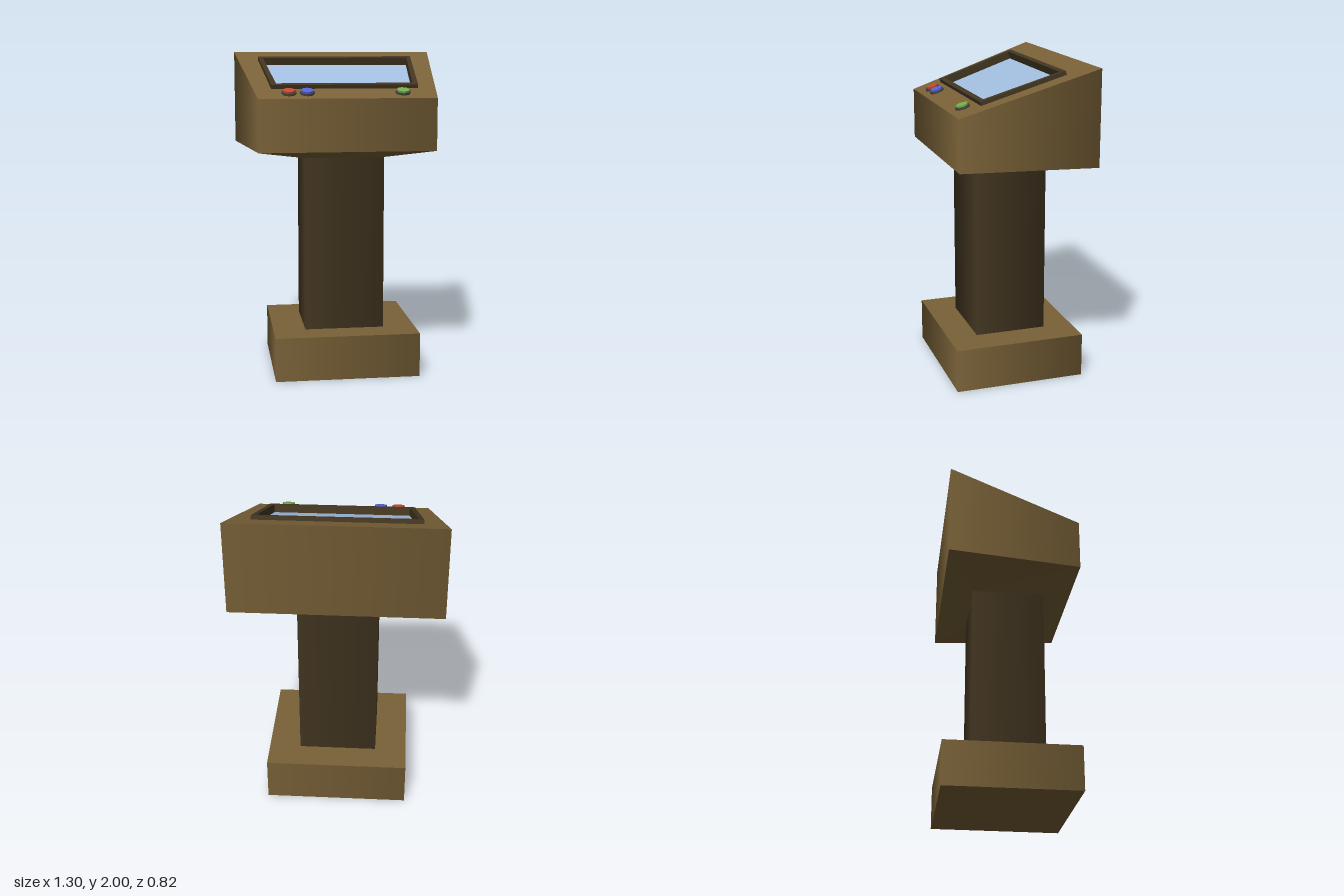
import * as THREE from 'three';

const mat = (color, extra = {}) => new THREE.MeshStandardMaterial({ color, ...extra });
const BROWN = 0x7a6238, DARK = 0x433621;

function add(parent, name, geometry, material) {
  const mesh = new THREE.Mesh(geometry, material);
  mesh.name = name;
  parent.add(mesh);
  return mesh;
}

// Four-sided block with softly shaded sides; rule(sx, sz, isTop) places each corner
function block(rule, open) {
  const g = new THREE.CylinderGeometry(1, 1, 1, 4, 1, open, Math.PI / 4);
  const p = g.attributes.position;
  for (let i = 0; i < p.count; i++) {
    const x = p.getX(i), z = p.getZ(i);
    const sx = Math.abs(x) < 0.1 ? 0 : Math.sign(x);
    const sz = Math.abs(z) < 0.1 ? 0 : Math.sign(z);
    p.setXYZ(i, ...rule(sx, sz, p.getY(i) > 0));
  }
  return g;
}

// Symmetric trapezoid: back edge at +y, front edge at -y
function trapezoid(Type, backX, backY, frontX, frontY) {
  return new Type([
    new THREE.Vector2(-frontX, frontY), new THREE.Vector2(frontX, frontY),
    new THREE.Vector2(backX, backY), new THREE.Vector2(-backX, backY),
  ]);
}

export function createModel() {
  const model = new THREE.Group();
  model.name = 'consolePedestal';
  const brown = mat(BROWN), dark = mat(DARK);

  // Foot and column
  add(model, 'base', block((x, z, t) => [x * 0.45, t ? 0.275 : 0, z * 0.412]), brown);
  add(model, 'column', block((x, z, t) => [x * 0.248, t ? 1.365 : 0.27, z * 0.226]), dark);

  // Console head: wider at the back, with a sloping top
  const D = 0.412, backTop = 2, frontTop = 1.735, backX = 0.648, frontX = 0.54;
  const rim = (x, z) => x * (z < 0 ? backX : frontX);
  add(model, 'headSides', block((x, z, t) =>
    [rim(x, z), t ? (z < 0 ? backTop : frontTop) : 1.415, z * D], true), brown);

  // Underside tapering in to the column
  const skirt = block((x, z, t) => t ? [rim(x, z), 1.415, z * D] : [x * 0.248, 1.362, z * 0.226], true).toNonIndexed();
  skirt.computeVertexNormals();
  add(model, 'headUnderside', skirt, brown);

  // Sloping control panel; local z points out of the panel
  const slope = Math.atan2(backTop - frontTop, 2 * D);
  const panel = new THREE.Group();
  panel.name = 'controlPanel';
  panel.position.y = (backTop + frontTop) / 2;
  panel.rotation.x = slope - Math.PI / 2;
  model.add(panel);

  const half = D / Math.cos(slope);
  const opening = [0.47, 0.239, 0.42, -0.234];
  const deck = trapezoid(THREE.Shape, backX, half, frontX, -half);
  deck.holes.push(trapezoid(THREE.Path, ...opening));
  add(panel, 'deck', new THREE.ShapeGeometry(deck), brown);

  // Raised frame with the display sunk inside it
  const frame = trapezoid(THREE.Shape, 0.5, 0.268, 0.45, -0.265);
  frame.holes.push(trapezoid(THREE.Path, ...opening));
  const frameMesh = add(panel, 'screenFrame',
    new THREE.ExtrudeGeometry(frame, { depth: 0.05, bevelEnabled: false }), dark);
  frameMesh.position.z = -0.025;
  const screen = add(panel, 'screen',
    new THREE.ShapeGeometry(trapezoid(THREE.Shape, ...opening)), mat(0xa3bfe0));
  screen.position.z = -0.024;

  // Push buttons, each in a dark collar
  const collar = mat(0x4b4a42);
  const buttons = [['redButton', -0.35, 0xc24a30], ['blueButton', -0.24, 0x5763dc], ['greenButton', 0.342, 0x74b04a]];
  for (const [name, x, color] of buttons) {
    const button = new THREE.Group();
    button.name = name;
    button.position.set(x, -0.348, 0);
    button.rotation.x = Math.PI / 2;
    panel.add(button);
    add(button, name + 'Collar', new THREE.CylinderGeometry(0.045, 0.045, 0.014, 8), collar).position.y = 0.007;
    add(button, name + 'Cap', new THREE.CylinderGeometry(0.038, 0.038, 0.024, 8), mat(color)).position.y = 0.012;
  }
  return model;
}
